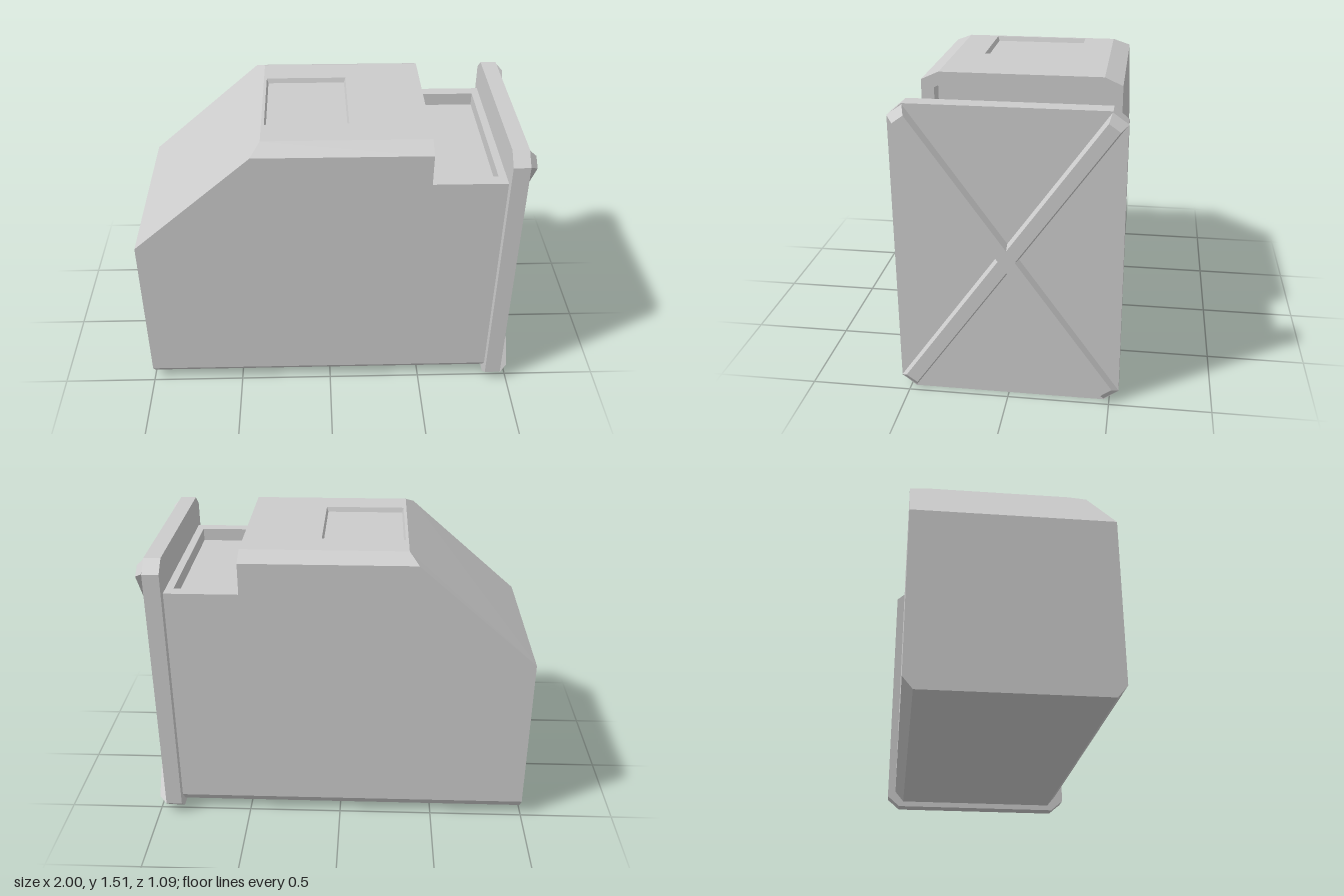
import * as THREE from 'three';

const material = new THREE.MeshStandardMaterial({ color: 0xcccccc, flatShading: true });

// Collects flat polygons (optionally with a hole), each facing the given direction
class Panels {
  constructor() { this.positions = []; }

  add(dir, outline, hole) {
    const d = new THREE.Vector3(...dir);
    const size = dir.map(Math.abs);
    const drop = size.indexOf(Math.max(...size));
    const keep = [0, 1, 2].filter(i => i !== drop);
    const flat = pts => pts.map(p => new THREE.Vector2(p[keep[0]], p[keep[1]]));
    const all = hole ? [...outline, ...hole] : outline;
    const verts = all.map(p => new THREE.Vector3(...p));
    for (const [a, b, c] of THREE.ShapeUtils.triangulateShape(flat(outline), hole ? [flat(hole)] : [])) {
      const n = verts[b].clone().sub(verts[a]).cross(verts[c].clone().sub(verts[a]));
      const order = n.dot(d) < 0 ? [a, c, b] : [a, b, c];
      for (const i of order) this.positions.push(...verts[i].toArray());
    }
  }

  // The same polygon on the +z and the -z side
  addPair(dir, outline) {
    const flip = ([x, y, z]) => [x, y, -z];
    this.add(dir, outline);
    this.add(flip(dir), outline.map(flip));
  }

  mesh(name) {
    const g = new THREE.BufferGeometry();
    g.setAttribute('position', new THREE.Float32BufferAttribute(this.positions, 3));
    g.computeVertexNormals();
    const m = new THREE.Mesh(g, material);
    m.name = name;
    return m;
  }
}

// Mirrors a half cross-section [z, y] at a given x into a closed loop
const section = (x, half) => [
  ...half.map(([z, y]) => [x, y, z]),
  ...half.slice().reverse().map(([z, y]) => [x, y, -z]),
];
const rectY = (x0, x1, z, y) => [[x0, y, z], [x1, y, z], [x1, y, -z], [x0, y, -z]];

function makeBody() {
  const p = new Panels();
  const x0 = -1, x1 = 0.875, notchX = 0.5, ledge = 1.31;
  const w = 0.5, base = 0.03, baseW = 0.45, low = 0.09;
  const shoulder = 1.474, top = 1.515, topW = 0.41, sx = -0.388, tx = -0.34, front = 0.94;

  // Sides with the notch, and the chamfers along bottom and top
  p.addPair([0, 0, 1], [[x0, low, w], [x1, low, w], [x1, ledge, w], [notchX, ledge, w],
    [notchX, shoulder, w], [sx, shoulder, w], [x0, front, w]]);
  p.addPair([0, -1, 1], [[x0, low, w], [x1, low, w], [x1, base, baseW], [x0, base, baseW]]);
  p.addPair([0, 1, 0.4], [[sx, shoulder, w], [notchX, shoulder, w], [notchX, top, topW], [tx, top, topW]]);
  p.add([0, -1, 0], rectY(x0, x1, baseW, base));

  // Low end, slope and the end behind the plate
  p.add([-1, 0, 0], section(x0, [[baseW, base], [w, low], [w, front]]));
  p.add([-0.87, 1, 0], [[x0, front, w], [sx, shoulder, w], [tx, top, topW],
    [tx, top, -topW], [sx, shoulder, -w], [x0, front, -w]]);
  p.add([1, 0, 0], section(x1, [[baseW, base], [w, low], [w, ledge]]));

  // Top with a sunken hatch panel
  const h0 = -0.325, h1 = 0.1, hz = 0.25, inset = 0.008, sunk = top - 0.025;
  const rim = rectY(h0, h1, hz, top);
  const floor = rectY(h0 + inset, h1 - inset, hz - inset, sunk);
  p.add([0, 1, 0], rectY(tx, notchX, topW, top), rim);
  p.add([0, 1, 0], floor);
  const inward = [[0, 0, -1], [-1, 0, 0], [0, 0, 1], [1, 0, 0]];
  inward.forEach((d, i) => {
    const j = (i + 1) % 4;
    p.add(d, [rim[i], rim[j], floor[j], floor[i]]);
  });

  // Rim around the opening: upright part and ledge part
  const iw = 0.435, ix = 0.835, back = 0.41, deep = 1.24;
  const inner = [[iw, ledge], [iw, 1.435], [0.385, 1.46]];
  const arch = section(notchX, inner);
  p.add([1, 0, 0], [...section(notchX, [[w, ledge], [w, shoulder], [topW, top]]), ...arch.slice().reverse()]);
  p.add([0, 1, 0], [[notchX, ledge, w], [x1, ledge, w], [x1, ledge, -w], [notchX, ledge, -w],
    [notchX, ledge, -iw], [ix, ledge, -iw], [ix, ledge, iw], [notchX, ledge, iw]]);

  // Inside of the opening
  p.addPair([0, 0, -1], [[back, deep, iw], [ix, deep, iw], [ix, ledge, iw], [notchX, ledge, iw],
    [notchX, 1.435, iw], [back, 1.435, iw]]);
  p.addPair([0, -1, -0.5], [[back, 1.435, iw], [notchX, 1.435, iw], [notchX, 1.46, 0.385], [back, 1.46, 0.385]]);
  p.add([0, -1, 0], rectY(back, notchX, 0.385, 1.46));
  p.add([0, 1, 0], rectY(back, ix, iw, deep));
  p.add([1, 0, 0], section(back, [[iw, deep], [iw, 1.435], [0.385, 1.46]]));
  p.add([-1, 0, 0], section(ix, [[iw, deep], [iw, ledge]]));
  return p.mesh('body');
}

// End plate: slab with cut corners and two crossed, bevelled ribs
function makeEndPlate() {
  const plate = new THREE.Group();
  plate.name = 'endPlate';
  const midY = 0.744, halfY = 0.744, halfZ = 0.545, cutY = 0.06, cutZ = 0.07;

  const corner = [[halfZ - cutZ, -halfY], [halfZ, -halfY + cutY], [halfZ, halfY - cutY], [halfZ - cutZ, halfY]];
  const outline = [...corner, ...corner.map(([a, b]) => [-a, -b])];
  const shape = new THREE.Shape(outline.map(([a, b]) => new THREE.Vector2(a, b)));
  const slabGeo = new THREE.ExtrudeGeometry(shape, { depth: 0.085, bevelEnabled: false });
  slabGeo.rotateY(Math.PI / 2);
  const slab = new THREE.Mesh(slabGeo, material);
  slab.name = 'plateSlab';
  slab.position.set(0.875, midY, 0);
  plate.add(slab);

  for (const side of [-1, 1]) {
    const g = new THREE.BoxGeometry(0.04, 1.752, 0.09);
    const pos = g.attributes.position;
    for (let i = 0; i < pos.count; i++) {
      if (pos.getX(i) > 0) {
        pos.setY(i, Math.sign(pos.getY(i)) * 0.835);
        pos.setZ(i, Math.sign(pos.getZ(i)) * 0.033);
      }
    }
    g.computeVertexNormals();
    const rib = new THREE.Mesh(g, material);
    rib.name = side < 0 ? 'crossRibA' : 'crossRibB';
    rib.position.set(0.98, midY, 0);
    rib.rotation.x = side * Math.atan2(0.51, 0.714);
    plate.add(rib);
  }
  return plate;
}

export function createModel() {
  const model = new THREE.Group();
  model.name = 'container';
  model.add(makeBody(), makeEndPlate());
  return model;
}
